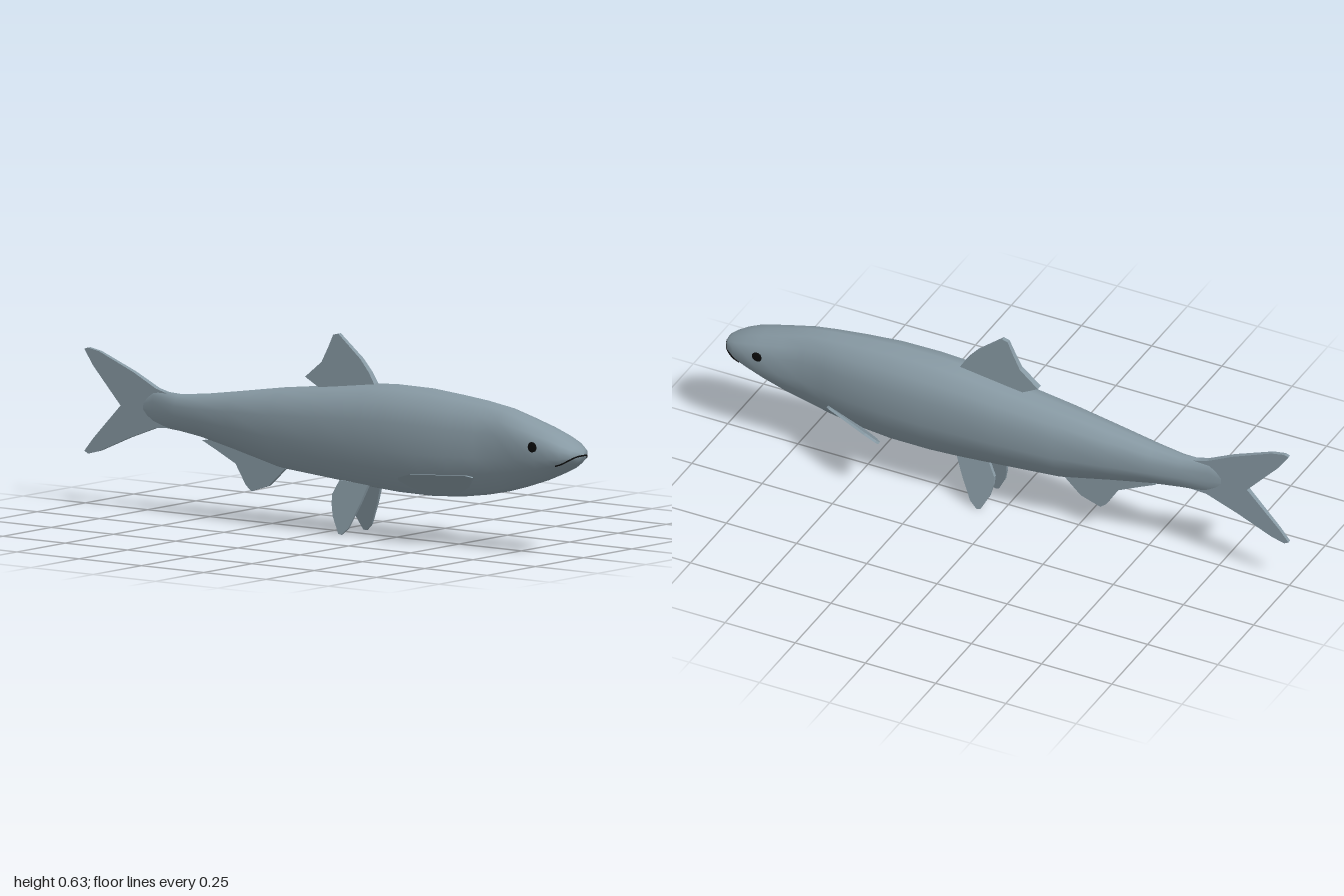
import * as THREE from 'three';

const skin = new THREE.MeshStandardMaterial({ color: 0x8799a3 });
skin.name = 'blue grey skin';
const black = new THREE.MeshStandardMaterial({ color: 0x0a0a0a });
black.name = 'black';

// Body stations from tail to snout: x, bottom, top, half width
const STATIONS = [
  [-0.80, 0.31, 0.34, 0.003], [-0.72, 0.272, 0.388, 0.016], [-0.62, 0.264, 0.383, 0.033],
  [-0.52, 0.251, 0.392, 0.049], [-0.38, 0.222, 0.413, 0.066], [-0.2, 0.181, 0.441, 0.086],
  [0.0, 0.165, 0.465, 0.101], [0.16, 0.152, 0.486, 0.109], [0.26, 0.146, 0.491, 0.110],
  [0.4, 0.145, 0.490, 0.106], [0.52, 0.154, 0.480, 0.097], [0.62, 0.169, 0.470, 0.084],
  [0.70, 0.186, 0.458, 0.076], [0.78, 0.209, 0.434, 0.082], [0.86, 0.236, 0.409, 0.082],
  [0.91, 0.257, 0.391, 0.076], [0.95, 0.277, 0.371, 0.065], [0.98, 0.298, 0.353, 0.045],
  [0.992, 0.311, 0.344, 0.026], [0.998, 0.327, 0.329, 0.002],
];
// Half cross-section from back to belly: share of half width, share of height
const HALF = [[0, 1], [0.41, 0.965], [0.79, 0.86], [0.99, 0.69], [1.0, 0.42], [0.82, 0.24], [0.42, 0.04], [0, 0]];

function bodyGeometry() {
  const ring = [...HALF, ...HALF.slice(1, -1).reverse().map(([w, h]) => [-w, h])];
  const n = ring.length, pos = [], index = [];
  for (const [x, y0, y1, hw] of STATIONS)
    for (const [w, h] of ring) pos.push(x, y0 + (y1 - y0) * h, w * hw);
  for (let i = 0; i < STATIONS.length - 1; i++)
    for (let j = 0; j < n; j++) {
      const k = (j + 1) % n;
      const a = i * n + j, b = i * n + k, c = b + n, d = a + n;
      index.push(a, b, c, a, c, d);
    }
  const g = new THREE.BufferGeometry();
  g.setAttribute('position', new THREE.Float32BufferAttribute(pos, 3));
  g.setIndex(index);
  g.computeVertexNormals();
  return g;
}

// Side outline extruded to a plate; mid(x, y) tilts it, half(x, y) sets half thickness
function finGeometry(outline, half, mid = () => 0) {
  const shape = new THREE.Shape(outline.map(([x, y]) => new THREE.Vector2(x, y)));
  const g = new THREE.ExtrudeGeometry(shape, { depth: 1, bevelEnabled: false });
  const p = g.attributes.position;
  for (let i = 0; i < p.count; i++) {
    const x = p.getX(i), y = p.getY(i);
    p.setZ(i, mid(x, y) + (p.getZ(i) > 0.5 ? 1 : -1) * half(x, y));
  }
  g.computeVertexNormals();
  return g;
}

export function createModel() {
  const model = new THREE.Group();
  model.name = 'fish';
  const add = (name, geometry, material = skin) => {
    const mesh = new THREE.Mesh(geometry, material);
    mesh.name = name;
    model.add(mesh);
    return mesh;
  };
  const addPair = (name, geometry, material) => {
    add(name + 'Left', geometry, material).scale.z = -1;
    add(name + 'Right', geometry, material);
  };

  add('body', bodyGeometry());

  // Fins on the centre line
  add('tailFin', finGeometry([
    [-0.64, 0.375], [-0.71, 0.393], [-0.80, 0.437], [-0.94, 0.492], [-0.985, 0.5], [-1, 0.495],
    [-0.965, 0.445], [-0.853, 0.326], [-0.965, 0.21], [-1, 0.168], [-0.985, 0.16], [-0.94, 0.172],
    [-0.82, 0.225], [-0.71, 0.267], [-0.64, 0.272],
  ], (x) => THREE.MathUtils.mapLinear(x, -1, -0.64, 0.006, 0.011)));
  add('dorsalFin', finGeometry([
    [-0.045, 0.45], [-0.11, 0.484], [-0.045, 0.537], [-0.02, 0.585], [0, 0.628], [0.02, 0.633],
    [0.11, 0.56], [0.145, 0.52], [0.17, 0.48],
  ], (x, y) => THREE.MathUtils.mapLinear(y, 0.45, 0.633, 0.012, 0.007)));
  add('analFin', finGeometry([
    [-0.2, 0.2], [-0.195, 0.18], [-0.26, 0.12], [-0.33, 0.097], [-0.352, 0.115], [-0.393, 0.18],
    [-0.47, 0.217], [-0.527, 0.243], [-0.45, 0.255],
  ], () => 0.006));

  // Paired belly fins, splayed outwards towards their tips
  addPair('pelvicFin', finGeometry([
    [0.05, 0.17], [0.027, 0.125], [0.028, 0.095], [0.038, 0.055], [0.067, 0.002], [0.08, 0],
    [0.104, 0.022], [0.14, 0.1], [0.165, 0.165],
  ], (x, y) => 0.003 + y * 0.02, (x, y) => 0.065 - 0.19 * y));

  // Paired breast fins, swept back and out
  addPair('pectoralFin', finGeometry([
    [0.61, 0.23], [0.595, 0.236], [0.54, 0.236], [0.43, 0.236], [0.388, 0.222], [0.382, 0.212],
    [0.40, 0.188], [0.43, 0.17], [0.46, 0.163], [0.53, 0.17], [0.575, 0.19],
  ], () => 0.006, (x, y) => 0.089 - 0.475 * x + 1.177 * y));

  // Eyes
  const eye = new THREE.SphereGeometry(0.018, 12, 8);
  eye.scale(1, 0.95, 0.17);
  eye.translate(0.855, 0.35, 0.0805);
  addPair('eye', eye, black);

  // Mouth line round the snout
  const side = [[0.93, 0.293, 0.057], [0.955, 0.302, 0.054], [0.98, 0.317, 0.042], [0.992, 0.325, 0.024]];
  const path = [...side, [0.998, 0.327, 0], ...side.map(([x, y, z]) => [x, y, -z]).reverse()];
  const curve = new THREE.CatmullRomCurve3(path.map((p) => new THREE.Vector3(...p)));
  add('mouth', new THREE.TubeGeometry(curve, 32, 0.0025, 6), black);

  return model;
}
